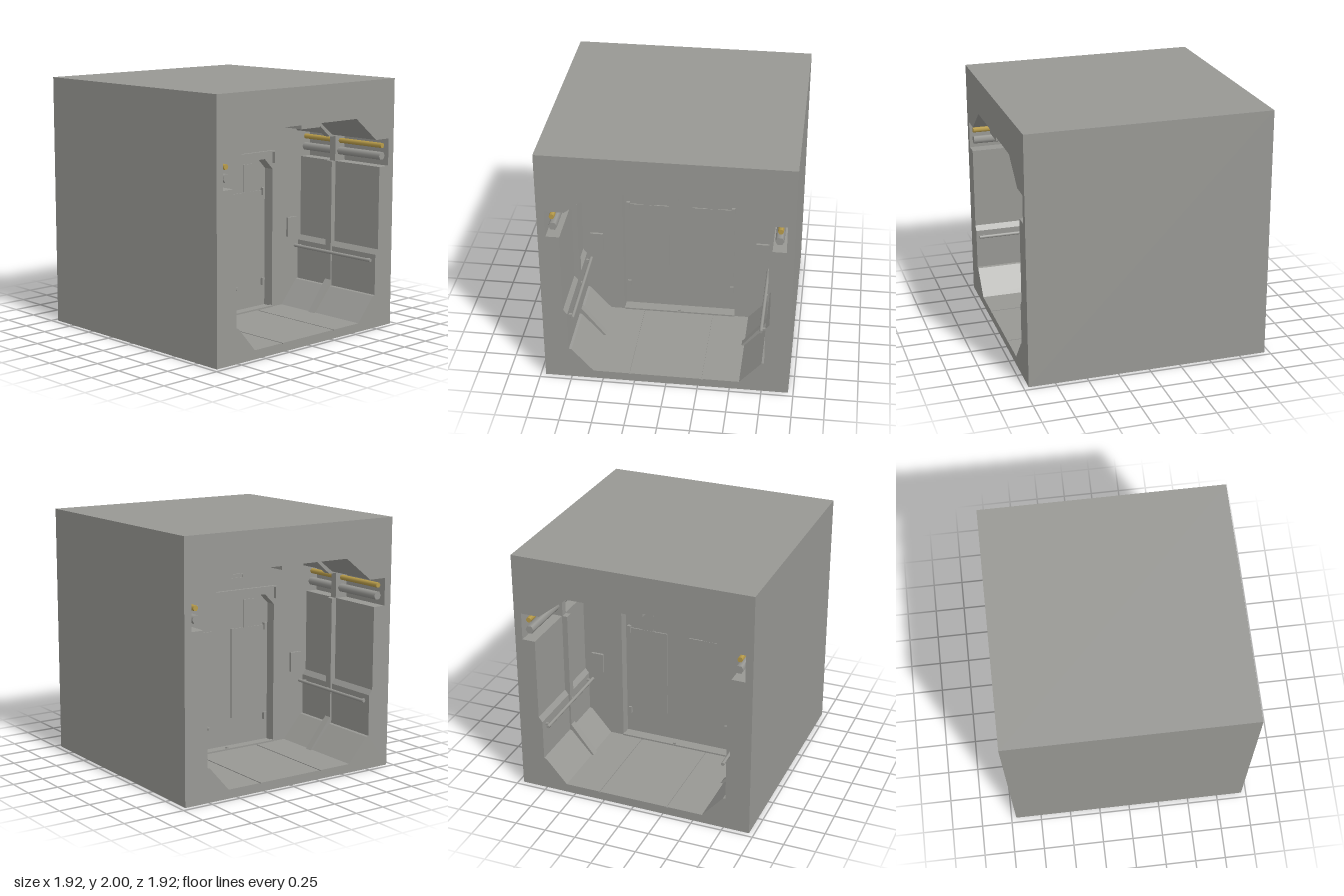
import * as THREE from 'three';

const grey = new THREE.MeshStandardMaterial({ color: 0x989894 });
grey.name = 'hull grey';
const gold = new THREE.MeshStandardMaterial({ color: 0xb89c4a });
gold.name = 'pipe gold';

const flipX = (pts) => pts.map(([x, y]) => [-x, y]).reverse();
const toVectors = (pts) => pts.map(([x, y]) => new THREE.Vector2(x, y));

// Right half of the passage cross-section, floor to ceiling
const half = [
  [0.28, 0.07], [0.28, 0.062], [0.29, 0.062], [0.29, 0.07], [0.575, 0.07], [0.745, 0.265],
  [0.765, 0.27], [0.765, 0.6], [0.795, 0.64], [0.795, 1.305], [0.9, 1.305],
  [0.9, 1.525], [0.75, 1.525], [0.515, 1.71],
];
const passage = [...half, ...flipX(half)];

export function createModel() {
  const model = new THREE.Group();

  function add(name, geometry, material = grey, parent = model) {
    const mesh = new THREE.Mesh(geometry, material);
    mesh.name = name;
    parent.add(mesh);
    return mesh;
  }
  function slab(outline, holes, z0, z1) {
    const shape = new THREE.Shape(toVectors(outline));
    for (const hole of holes) shape.holes.push(new THREE.Path(toVectors(hole)));
    return new THREE.ExtrudeGeometry(shape, { depth: z1 - z0, bevelEnabled: false }).translate(0, 0, z0);
  }
  function block(x0, x1, y0, y1, z0, z1) {
    return new THREE.BoxGeometry(x1 - x0, y1 - y0, z1 - z0)
      .translate((x0 + x1) / 2, (y0 + y1) / 2, (z0 + z1) / 2);
  }
  function rod(x, y, radius, sides, z0, z1) {
    return new THREE.CylinderGeometry(radius, radius, z1 - z0, sides).toNonIndexed()
      .rotateY(Math.PI / 2).rotateX(Math.PI / 2).translate(x, y, (z0 + z1) / 2);
  }

  // Outer block with the passage cut through it
  const outer = [[-0.96, 0], [0.96, 0], [0.96, 2], [-0.96, 2]];
  add('outerShell', slab(outer, [passage], -0.96, 0.96));

  // Central bulkhead with a chamfered doorway
  const doorway = [
    [-0.46, 0.075], [0.46, 0.075], [0.46, 1.23], [0.37, 1.32], [-0.37, 1.32], [-0.46, 1.23],
  ];
  add('bulkhead', slab(passage, [doorway], -0.1, 0.1));
  add('doorLeaf', block(-0.46, 0.46, 0.07, 1.33, -0.01, 0.01));

  // Fittings of one half of the passage, turned round for the other half
  const rib = [
    [0.55, 0.065], [0.75, 0.32], [0.75, 1.305], [0.79, 1.305], [0.79, 1.51], [0.72, 1.51],
    [0.48, 1.712], [0.525, 1.712], [0.755, 1.53], [0.905, 1.53], [0.905, 1.3], [0.8, 1.3],
    [0.8, 0.63], [0.77, 0.59], [0.77, 0.26], [0.745, 0.26], [0.58, 0.065],
  ];
  for (const end of [0, 1]) {
    const bay = new THREE.Group();
    bay.name = end ? 'backBay' : 'frontBay';
    bay.rotation.y = end * Math.PI;
    model.add(bay);
    const fit = (name, geometry, material = grey) => add(name, geometry, material, bay);

    fit('ceilingChannel', block(-0.1, 0.1, 1.68, 1.715, 0.09, 0.96));
    fit('doorSill', block(-0.46, 0.46, 0.065, 0.083, 0.08, 0.11));
    fit('sillCatch', block(-0.01, 0.01, 0.08, 0.095, 0.09, 0.105));
    fit('doorHood', block(-0.47, 0.47, 1.375, 1.387, 0.09, 0.125));

    // Raised slot frame above the door
    const slot = [[-0.145, 1.478], [0.145, 1.478], [0.145, 1.515], [-0.145, 1.515]];
    const slotHole = [[-0.138, 1.485], [0.138, 1.485], [0.138, 1.508], [-0.138, 1.508]];
    fit('signFrame', slab(slot, [slotHole], 0.095, 0.115));
    fit('signPlate', block(-0.138, 0.138, 1.485, 1.508, 0.095, 0.108));

    for (const s of [-1, 1]) {
      const pair = (name, x0, x1, y0, y1, z0, z1) =>
        fit(name, block(Math.min(s * x0, s * x1), Math.max(s * x0, s * x1), y0, y1, z0, z1));
      // Door details
      pair('doorPanel', 0.095, 0.44, 0.305, 1.05, 0.005, 0.02);
      pair('doorWindow', 0.215, 0.32, 1.04, 1.28, 0.005, 0.018);
      pair('upperHinge', 0.413, 0.44, 1.01, 1.07, 0.005, 0.035);
      pair('lowerHinge', 0.413, 0.44, 0.25, 0.31, 0.005, 0.035);
      pair('hoodSide', 0.46, 0.47, 1.28, 1.38, 0.09, 0.125);
      // Bulkhead control box
      pair('controlBox', 0.625, 0.728, 0.643, 0.805, 0.09, 0.12);
      // Wall rib
      fit('wallRib', slab(s > 0 ? rib : flipX(rib), [], 0.43, 0.49));
      // Pipes and handrail
      fit('largePipe', rod(s * 0.845, 1.387, 0.034, 6, 0.09, 0.94));
      fit('smallPipe', rod(s * 0.85, 1.47, 0.022, 6, 0.09, 0.94), gold);
      fit('handrail', rod(s * 0.73, 0.555, 0.014, 8, 0.09, 0.94));
      for (const z of [0.14, 0.46, 0.9]) pair('railBracket', 0.73, 0.775, 0.547, 0.563, z - 0.01, z + 0.01);
    }
  }
  return model;
}
